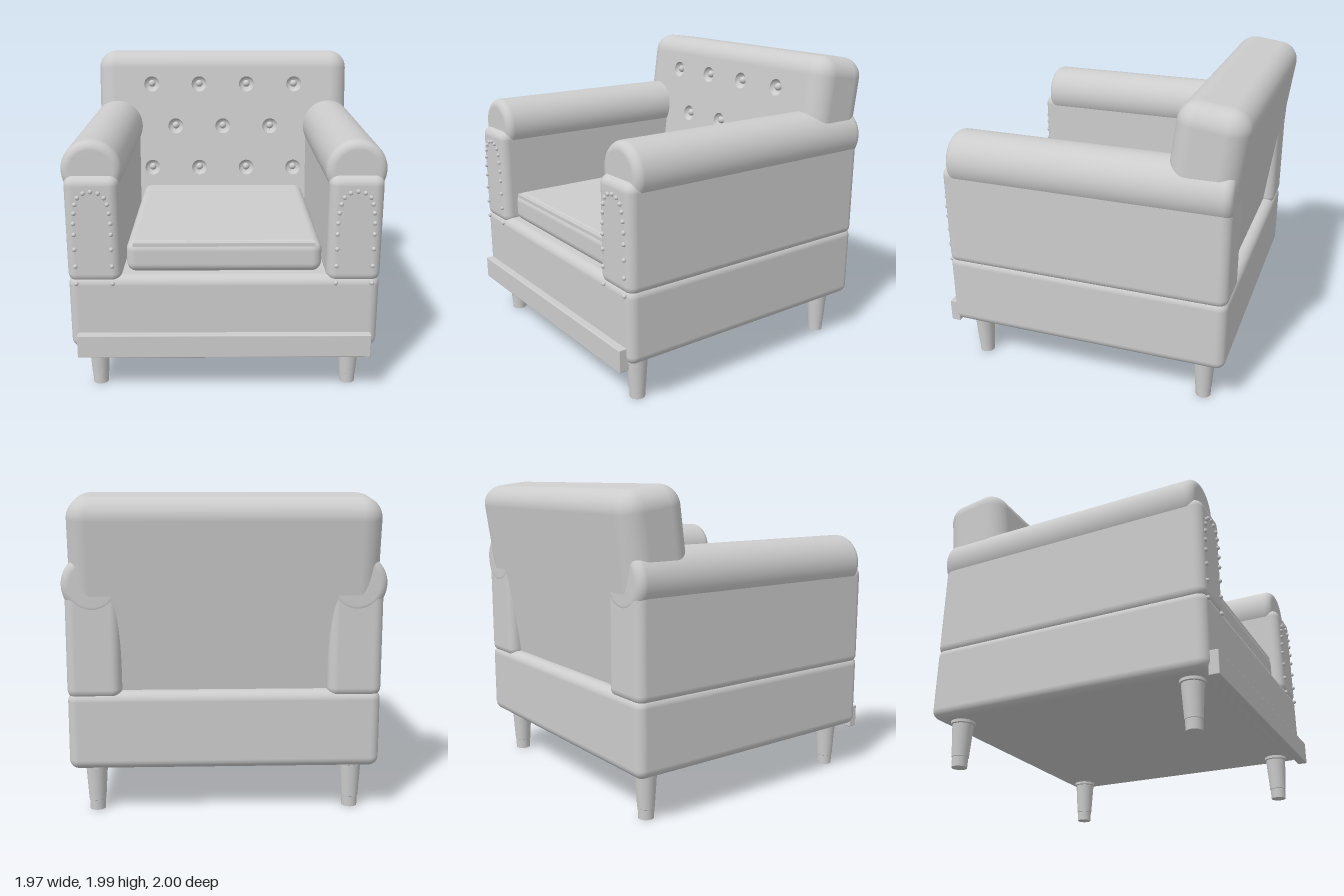
import * as THREE from 'three';
import { RoundedBoxGeometry } from 'three/addons/geometries/RoundedBoxGeometry.js';
import { toCreasedNormals, mergeGeometries } from 'three/addons/utils/BufferGeometryUtils.js';

const upholstery = new THREE.MeshStandardMaterial({ color: 0xcccccc });
upholstery.name = 'light grey';

function add(parent, name, geometry, x = 0, y = 0, z = 0) {
  const mesh = new THREE.Mesh(geometry, upholstery);
  mesh.name = name;
  mesh.position.set(x, y, z);
  parent.add(mesh);
  return mesh;
}

// Rounded block given by its limits on each axis
function block(parent, name, [x0, x1], [y0, y1], [z0, z1], radius) {
  const geometry = new RoundedBoxGeometry(x1 - x0, y1 - y0, z1 - z0, 6, radius);
  return add(parent, name, geometry, (x0 + x1) / 2, (y0 + y1) / 2, (z0 + z1) / 2);
}

// Rounded block whose flat front has round dimples sunk into it
function tuftedBlock(w, h, d, r, tufts, dimpleR, depth) {
  const shell = new RoundedBoxGeometry(w, h, d, 8, r);
  const p = shell.attributes.position, n = shell.attributes.normal;
  const pos = [], nor = [];
  for (let i = 0; i < p.count; i += 3) {
    const onFront = [0, 1, 2].every((k) => p.getZ(i + k) > d / 2 - 1e-4);
    if (onFront) continue;
    for (let k = i; k < i + 3; k++) {
      pos.push(p.getX(k), p.getY(k), p.getZ(k));
      nor.push(n.getX(k), n.getY(k), n.getZ(k));
    }
  }
  const open = new THREE.BufferGeometry();
  open.setAttribute('position', new THREE.Float32BufferAttribute(pos, 3));
  open.setAttribute('normal', new THREE.Float32BufferAttribute(nor, 3));

  const a = w / 2 - r, b = h / 2 - r;
  const face = new THREE.Shape([[-a, -b], [a, -b], [a, b], [-a, b]].map((q) => new THREE.Vector2(...q)));
  const profile = [];
  for (let i = 0; i <= 8; i++) {
    const t = (i / 8) * Math.PI / 2;
    profile.push(new THREE.Vector2(i === 8 ? 0 : dimpleR * Math.cos(t), -depth * Math.sin(t)));
  }
  const parts = [open];
  for (const [x, y] of tufts) {
    face.holes.push(new THREE.Path().absarc(x, y, dimpleR, 0, Math.PI * 2, true));
    parts.push(new THREE.LatheGeometry(profile, 24).rotateX(Math.PI / 2).translate(x, y, d / 2));
  }
  parts.push(new THREE.ShapeGeometry(face, 12).translate(0, 0, d / 2));
  return mergeGeometries(parts.map((g) => {
    const flat = g.index ? g.toNonIndexed() : g;
    flat.deleteAttribute('uv');
    return flat;
  }));
}

// Cylinder along z with rounded rims
function rollGeometry(radius, length, bevel) {
  const pts = [new THREE.Vector2(0, -length / 2)];
  for (const end of [-1, 1]) {
    for (let i = 0; i <= 6; i++) {
      const t = ((end < 0 ? i : 6 - i) / 6) * Math.PI / 2;
      pts.push(new THREE.Vector2(
        radius - bevel + bevel * Math.sin(t),
        end * (length / 2 - bevel + bevel * Math.cos(t))));
    }
  }
  pts.push(new THREE.Vector2(0, length / 2));
  return new THREE.LatheGeometry(pts, 48).rotateX(Math.PI / 2);
}

function buildBack(parent) {
  const back = new THREE.Group();
  back.name = 'back';
  const tilt = 0.135, cy = 1.288, cz = -0.703, depth = 0.44;
  back.position.set(0, cy, cz);
  back.rotation.x = -tilt;

  // Three staggered rows of tufting
  const tufts = [];
  for (const [y, xs] of [
    [1.76, [-0.54, -0.18, 0.18, 0.54]],
    [1.445, [-0.36, 0, 0.36]],
    [1.13, [-0.54, -0.18, 0.18, 0.54]],
  ]) {
    const local = (y - cy - depth / 2 * Math.sin(tilt)) / Math.cos(tilt);
    for (const x of xs) tufts.push([x, local]);
  }
  add(back, 'backCushion', tuftedBlock(1.89, 1.4, depth, 0.13, tufts, 0.057, 0.04));
  for (const [x, y] of tufts) {
    add(back, 'tuftButton', new THREE.SphereGeometry(0.026, 16, 12), x, y + 0.005, depth / 2 - 0.027);
  }
  parent.add(back);
}

function buildArm(parent, side) {
  const arm = new THREE.Group();
  arm.name = side > 0 ? 'leftArm' : 'rightArm';
  arm.position.x = side * 0.8;
  block(arm, 'armPanel', [-0.167, 0.167], [0.745, 1.425], [-0.935, 0.95], 0.06);
  add(arm, 'armRoll', rollGeometry(0.187, 1.845, 0.055), 0, 1.448, -0.015);

  // Studs in an arch on the front of the arm
  const arch = [[0, 1.335], [0.045, 1.325], [0.08, 1.297], [0.097, 1.255], [0.106, 1.2],
    [0.112, 1.135], [0.112, 1.065], [0.112, 0.97], [0.112, 0.86], [0.112, 0.747]];
  const stud = new THREE.SphereGeometry(0.014, 12, 8);
  for (const [x, y] of arch) {
    for (const s of x ? [-1, 1] : [1]) add(arm, 'stud', stud, s * x, y, 0.952);
  }
  parent.add(arm);
}

export function createModel() {
  const chair = new THREE.Group();
  chair.name = 'armchair';

  block(chair, 'base', [-0.965, 0.965], [0.3, 0.79], [-0.935, 0.95], 0.06);
  block(chair, 'frontRail', [-0.92, 0.92], [0.265, 0.415], [0.935, 1], 0.006);
  block(chair, 'seatCushion', [-0.608, 0.608], [0.79, 0.992], [-0.6, 0.89], 0.06);
  block(chair, 'seatPiping', [-0.565, 0.565], [0.956, 0.988], [0.85, 0.882], 0.004);

  buildBack(chair);
  for (const side of [-1, 1]) buildArm(chair, side);

  // Tapered legs with a collar and a foot cap
  const profile = [[0, 0], [0.049, 0], [0.051, 0.065], [0.054, 0.067], [0.068, 0.278],
    [0.077, 0.282], [0.077, 0.31], [0, 0.31]].map((q) => new THREE.Vector2(...q));
  const leg = toCreasedNormals(new THREE.LatheGeometry(profile, 24), 0.5);
  for (const x of [-0.81, 0.81]) {
    for (const z of [-0.78, 0.8]) add(chair, 'leg', leg, x, 0, z);
  }
  return chair;
}
